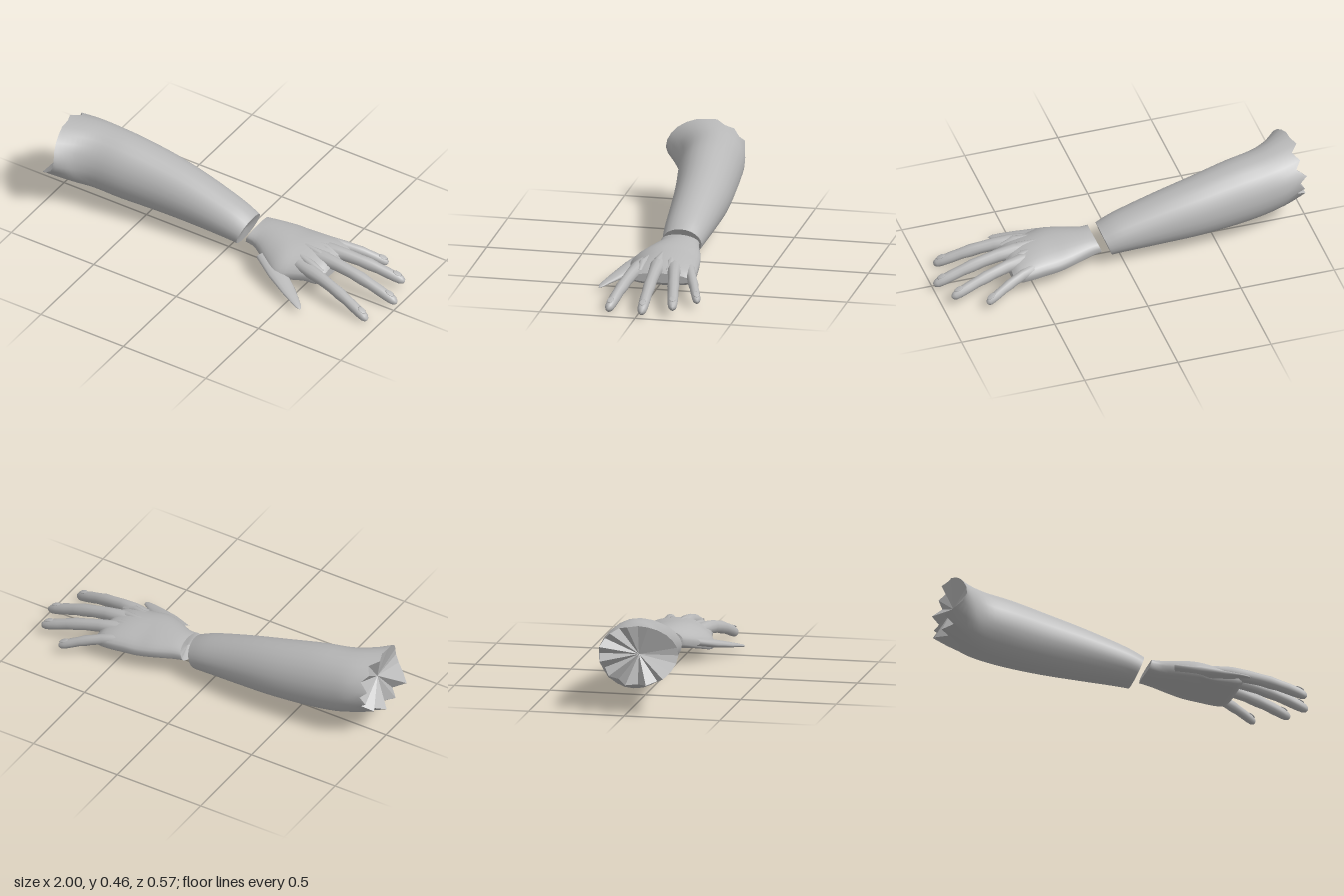
import * as THREE from 'three';

const skin = new THREE.MeshStandardMaterial({ color: 0xb8b8b8 });
skin.name = 'grey skin';
const V = (x, y, z) => new THREE.Vector3(x, y, z);

// Skin a list of rings (each running from +z over the top) laid out along +x
function loft(rings) {
  const n = rings[0].length, pos = [], idx = [];
  rings.forEach(r => r.forEach(p => pos.push(p.x, p.y, p.z)));
  for (let i = 0; i < rings.length - 1; i++) for (let j = 0; j < n; j++) {
    const a = i * n + j, b = i * n + (j + 1) % n, c = a + n, d = b + n;
    idx.push(a, c, b, b, c, d);
  }
  const g = new THREE.BufferGeometry();
  g.setAttribute('position', new THREE.Float32BufferAttribute(pos, 3));
  g.setIndex(idx);
  g.computeVertexNormals();
  return g;
}

// Flat faceted fan closing a ring; "start" caps face -x, others +x
function fan(ring, start, depth = 0) {
  const c = ring.reduce((s, p) => s.add(p), V(0, 0, 0)).divideScalar(ring.length);
  c.x += depth;
  const pts = [];
  ring.forEach((p, j) => {
    const q = ring[(j + 1) % ring.length];
    pts.push(...(start ? [c, p, q] : [c, q, p]));
  });
  const g = new THREE.BufferGeometry().setFromPoints(pts);
  g.computeVertexNormals();
  return g;
}

function add(group, name, geometry) {
  const m = new THREE.Mesh(geometry, skin);
  m.name = name;
  group.add(m);
}

// Spline through rows of numbers
function resample(rows, count) {
  const curves = rows[0].map((_, k) => new THREE.SplineCurve(rows.map((r, i) => new THREE.Vector2(i, r[k]))));
  return Array.from({ length: count + 1 }, (_, i) => curves.map(c => c.getPoint(i / count).y));
}

// Cross-section across x: bottom, top, back, front, lean of the top, droop of the front edge
function section([x, yb, yt, zb, zf, lean, droop], n, square) {
  return Array.from({ length: n }, (_, j) => {
    const a = j / n * Math.PI * 2, c = Math.cos(a), s = Math.sin(a);
    const sy = s < 0 ? -Math.pow(-s, square) : s;
    const drop = c > 0 ? droop * c * c : droop * 0.3 * c * c;
    return V(x + lean * s, (yb + yt) / 2 + (yt - yb) / 2 * sy - drop, (zb + zf) / 2 + (zf - zb) / 2 * c);
  });
}

// Tube with elliptical rings along a path; rows are [point, half width, half height]
function limb(rows, n) {
  return loft(rows.map(([p, w, h], i) => {
    const { s, up } = frame(rows, i);
    return Array.from({ length: n }, (_, j) => {
      const a = j / n * Math.PI * 2;
      return p.clone().addScaledVector(s, w * Math.cos(a)).addScaledVector(up, h * Math.sin(a));
    });
  }));
}

function frame(rows, i) {
  const d = rows[Math.min(i + 1, rows.length - 1)][0].clone().sub(rows[Math.max(i - 1, 0)][0]).normalize();
  const s = d.clone().cross(V(0, 1, 0)).normalize();
  return { d, s, up: s.clone().cross(d) };
}

function makeForearm() {
  const group = new THREE.Group();
  group.name = 'forearm';
  const rows = [
    [-0.94, 0.165, 0.47, -0.145, 0.262, 0, 0],
    [-0.85, 0.125, 0.462, -0.165, 0.205, 0, 0],
    [-0.75, 0.1, 0.45, -0.172, 0.157, 0, 0],
    [-0.6, 0.08, 0.43, -0.18, 0.135, 0, 0],
    [-0.4, 0.07, 0.387, -0.185, 0.105, 0, 0],
    [-0.2, 0.065, 0.333, -0.175, 0.085, 0.005, 0],
    [0, 0.06, 0.262, -0.158, 0.07, 0.02, 0],
    [0.09, 0.055, 0.215, -0.145, 0.06, 0.03, 0],
  ];
  // Torn rim at the elbow
  const jag = [4, 4, 3, 2, 1, 0, 0, -2, 2, -1, 2, -3, 1, -2, 2, -4, 1, -6, 0, -5, 0, -6, -2, 2];
  const rings = resample(rows, 28).map(r => section(r, 24, 1));
  rings.forEach(ring => ring.forEach((p, j) => {
    p.x += jag[j] * 0.01 * Math.max(0, 1 - (p.x + 0.94) / 0.12);
  }));
  add(group, 'forearm skin', loft(rings));
  add(group, 'torn elbow end', fan(rings[0], true, 0.03));
  add(group, 'wrist end', fan(rings[rings.length - 1], false, -0.015));
  return group;
}

function makeFinger(name, base, tip, size) {
  const group = new THREE.Group();
  group.name = name;
  // Position along the finger, half width and half height, swelling at the joints
  const profile = [
    [0, 0.036, 0.032], [0.18, 0.038, 0.036], [0.35, 0.031, 0.034], [0.5, 0.029, 0.031],
    [0.6, 0.031, 0.033], [0.7, 0.027, 0.029], [0.8, 0.028, 0.029], [0.9, 0.026, 0.027],
    [0.96, 0.022, 0.023], [0.99, 0.013, 0.014], [1, 0.001, 0.001],
  ];
  const rows = profile.map(([t, w, h]) => {
    const p = base.clone().lerp(tip, t);
    p.y = base.y + (tip.y - base.y) * Math.pow(t, 1.9);
    return [p, w * size, h * size];
  });
  add(group, name + ' skin', limb(rows, 12));
  // Nail
  const { d, s, up } = frame(rows, 7);
  const nail = new THREE.SphereGeometry(1, 10, 6).scale(0.026, 0.004, 0.017);
  nail.applyMatrix4(new THREE.Matrix4().makeBasis(d, up, s));
  const at = rows[7][0].clone().addScaledVector(up, rows[7][2]);
  add(group, name + ' nail', nail.translate(at.x, at.y, at.z));
  return group;
}

function makeHand() {
  const group = new THREE.Group();
  group.name = 'hand';
  // Palm with a flat underside and a thin edge towards the thumb
  const rows = [
    [0.14, 0.107, 0.2, -0.145, 0.055, 0.02, 0],
    [0.2, 0.1, 0.205, -0.158, 0.062, 0.01, 0.01],
    [0.3, 0.088, 0.207, -0.188, 0.125, 0, 0.035],
    [0.38, 0.078, 0.204, -0.203, 0.165, 0, 0.05],
    [0.46, 0.07, 0.198, -0.212, 0.14, 0, 0.035],
    [0.53, 0.063, 0.186, -0.22, 0.122, 0, 0.015],
    [0.59, 0.065, 0.165, -0.218, 0.115, 0, 0.01],
    [0.62, 0.085, 0.135, -0.2, 0.1, 0, 0.005],
  ];
  const rings = resample(rows, 21).map(r => section(r, 28, 0.55));
  add(group, 'palm', loft(rings));
  add(group, 'wrist cut', fan(rings[0], true, 0.02));
  add(group, 'knuckle web', fan(rings[rings.length - 1], false));

  // Flattened thumb
  add(group, 'thumb', limb([
    [V(0.27, 0.122, 0.08), 0.05, 0.02], [V(0.39, 0.09, 0.15), 0.05, 0.022],
    [V(0.5, 0.062, 0.212), 0.037, 0.015], [V(0.56, 0.048, 0.248), 0.024, 0.009],
    [V(0.595, 0.038, 0.268), 0.015, 0.006], [V(0.61, 0.033, 0.276), 0.001, 0.001],
  ], 12));

  // Fingers
  [
    ['index finger', V(0.47, 0.136, 0.072), V(0.94, 0.022, 0.157), 1],
    ['middle finger', V(0.47, 0.158, -0.018), V(1, 0.036, -0.031), 1.03],
    ['ring finger', V(0.47, 0.15, -0.09), V(0.95, 0.055, -0.184), 1],
    ['little finger', V(0.46, 0.135, -0.155), V(0.79, 0.047, -0.278), 0.85],
  ].forEach(f => group.add(makeFinger(...f)));

  // Tendon ridges over the back of the hand
  [[0.062, 0.172], [-0.018, 0.188], [-0.085, 0.182], [-0.145, 0.163]].forEach(([z, y], i) => {
    const z0 = -0.045 + (z + 0.045) * 0.6;
    add(group, 'tendon ' + (i + 1), limb([
      [V(0.33, 0.184, z0), 0.002, 0.002], [V(0.45, y - 0.003, (z + z0) / 2), 0.014, 0.014],
      [V(0.54, y - 0.012, z), 0.021, 0.018], [V(0.61, y - 0.035, z), 0.01, 0.008],
    ], 10));
  });
  return group;
}

export function createModel() {
  const model = new THREE.Group();
  model.name = 'severed arm';
  model.add(makeForearm(), makeHand());
  return model;
}
